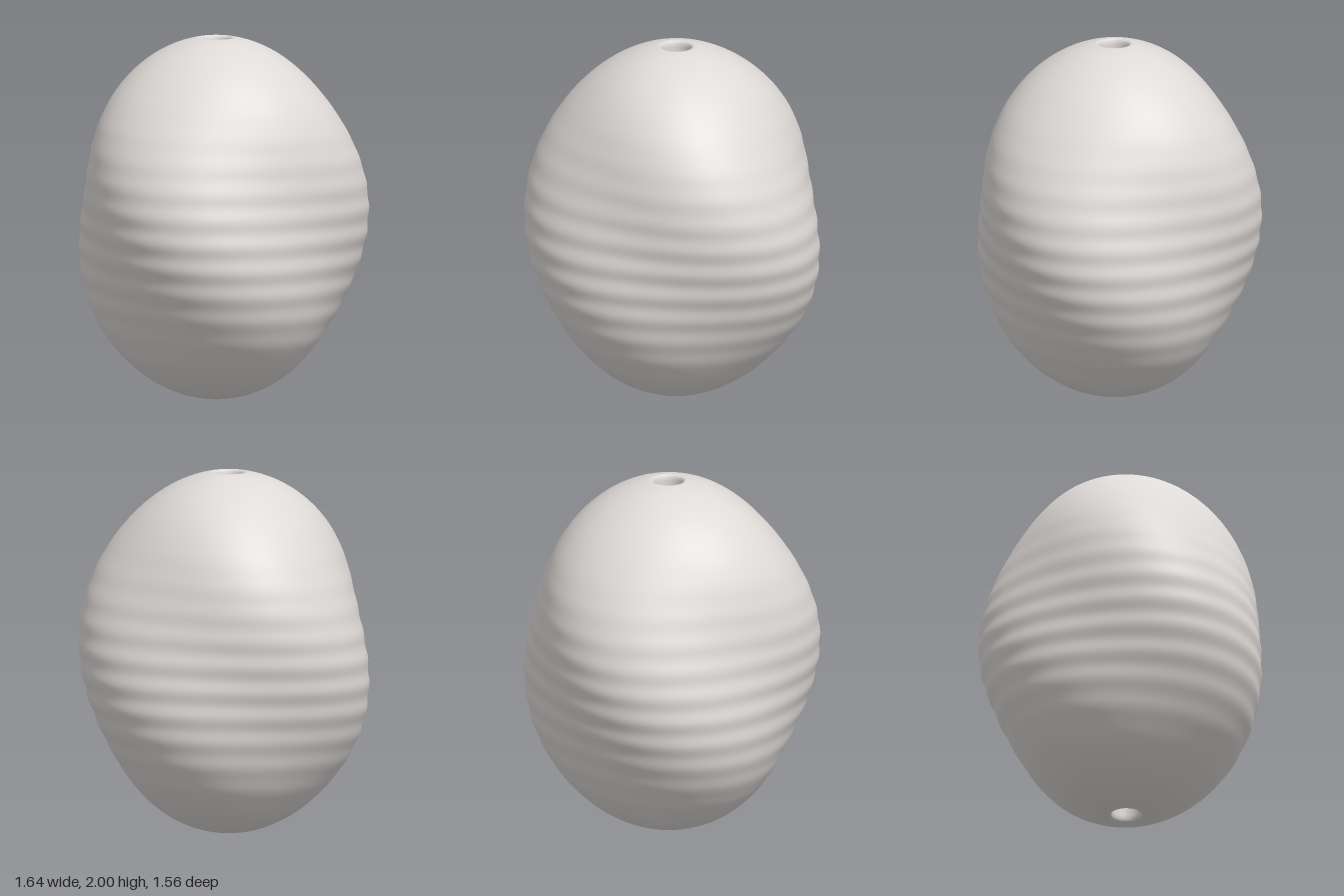
import * as THREE from 'three';
import { mergeVertices } from 'three/addons/utils/BufferGeometryUtils.js';

const RADIUS = 0.787, HALF = 1.008, HOLE = 0.078, STEPS = 180, SIDES = 160;

// Outer surface: a three-lobed egg whose lobes twist with height and fade to
// round ends, slightly wider across x, with fine rising ripples
function outerRadius(r, y, a) {
  const fade = (r / RADIUS) ** 2;
  const lobes = 0.06 * Math.sin(3 * a - 2.8 * (y - 1) - 0.2);
  const broad = 0.017 * Math.cos(2 * a) + 0.013 * Math.cos(a - 1.1);
  const band = Math.exp(-(((y - 0.85) / 0.5) ** 2)) * Math.min(1, r / 0.5);
  const ripple = 0.0042 * band * Math.sin((2 * Math.PI * (y - 1.03)) / 0.145 - (a - Math.PI / 2));
  return r * (1 + fade * (lobes + broad)) + ripple;
}

export function createModel() {
  const group = new THREE.Group();
  group.name = 'bead';
  const stone = new THREE.MeshStandardMaterial({ color: 0xdedad7 });
  stone.name = 'warm grey';

  // Closed profile: rounded lower rim, egg side, rounded upper rim, bore
  const profile = [[HOLE, 0.035], [0.081, 0.014], [0.087, 0.004]];
  const start = Math.acos(1 / HALF);
  for (let i = 0; i <= STEPS; i++) {
    const t = start + (Math.PI - 2 * start) * (i / STEPS);
    profile.push([RADIUS * Math.sin(t), 1 - HALF * Math.cos(t)]);
  }
  profile.push([0.087, 1.996], [0.081, 1.986], [HOLE, 1.965], [HOLE, 1], [HOLE, 0.035]);

  let geometry = new THREE.LatheGeometry(profile.map(([r, y]) => new THREE.Vector2(r, y)), SIDES);
  const pos = geometry.attributes.position;
  for (let i = 0; i < pos.count; i++) {
    const x = pos.getX(i), y = pos.getY(i), z = pos.getZ(i);
    const r = Math.hypot(x, z);
    if (r < 0.095) continue; // the bore stays round
    const k = outerRadius(r, y, Math.atan2(z, x)) / r;
    pos.setXYZ(i, x * k, y, z * k);
  }

  // Weld the seam for smooth normals
  geometry.deleteAttribute('normal');
  geometry.deleteAttribute('uv');
  geometry = mergeVertices(geometry, 1e-5);
  geometry.computeVertexNormals();
  geometry.translate(0.01, 0, 0.03);

  const body = new THREE.Mesh(geometry, stone);
  body.name = 'rippledBody';
  group.add(body);
  return group;
}
